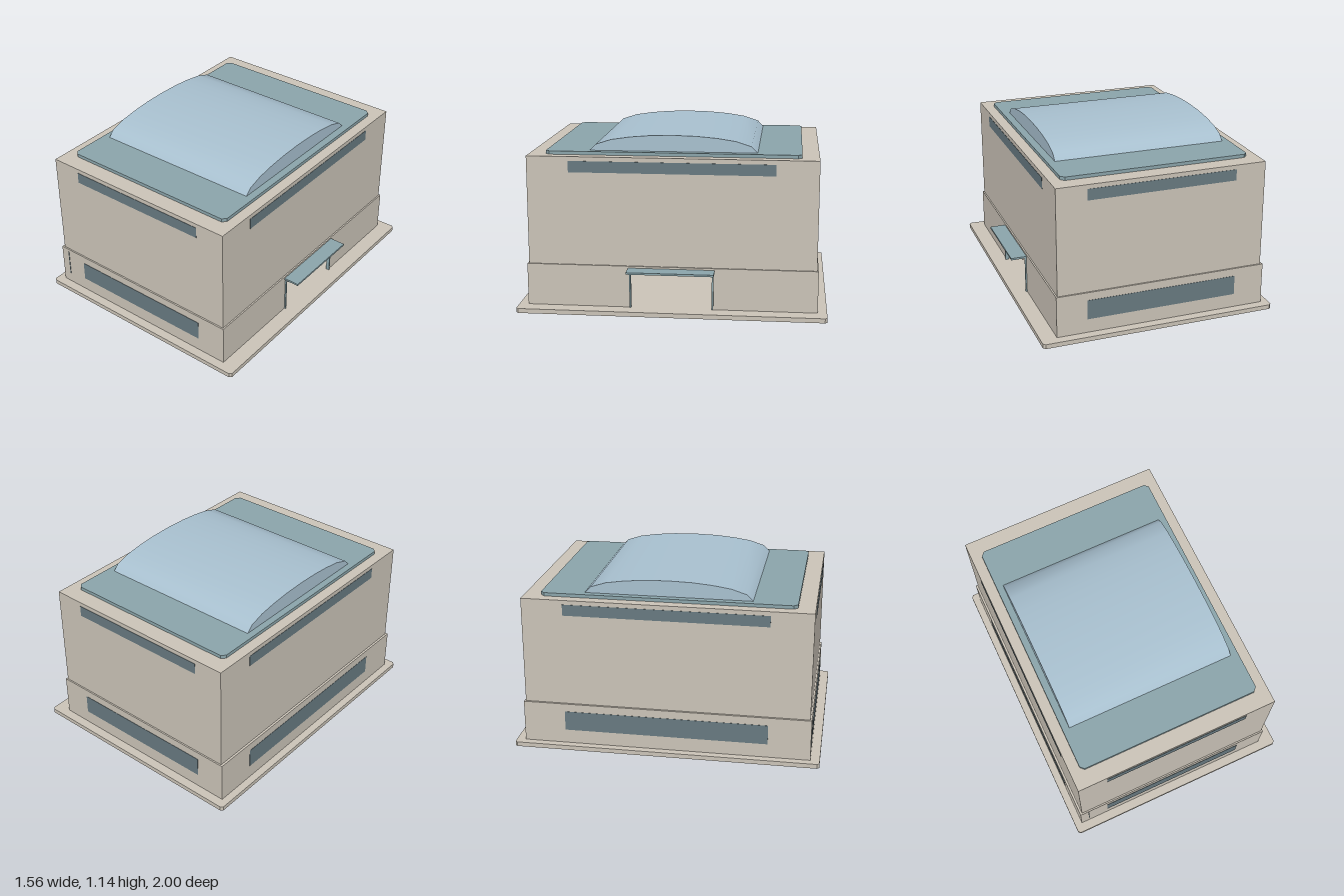
import * as THREE from 'three';
import { toCreasedNormals } from 'three/addons/utils/BufferGeometryUtils.js';

const material = (name, color) => {
  const m = new THREE.MeshStandardMaterial({ color });
  m.name = name;
  return m;
};

export function createModel() {
  const model = new THREE.Group();
  model.name = 'building';
  const stone = material('stone', 0xcac3b7);
  const teal = material('teal trim', 0x8aa4aa);
  const glass = material('dark glass', 0x677980);
  const sky = material('skylight blue', 0xa8c0cf);

  const add = (name, geometry, mat) => {
    const mesh = new THREE.Mesh(geometry, mat);
    mesh.name = name;
    model.add(mesh);
    return mesh;
  };
  // Box given by its limits on each axis
  const block = (name, mat, x0, x1, y0, y1, z0, z1) => {
    const mesh = add(name, new THREE.BoxGeometry(x1 - x0, y1 - y0, z1 - z0), mat);
    mesh.position.set((x0 + x1) / 2, (y0 + y1) / 2, (z0 + z1) / 2);
    return mesh;
  };
  // Horizontal slab with small clipped corners
  const slab = (name, mat, x0, x1, y0, y1, z, c) => {
    const shape = new THREE.Shape([
      [x0 + c, -z], [x1 - c, -z], [x1, -z + c], [x1, z - c],
      [x1 - c, z], [x0 + c, z], [x0, z - c], [x0, -z + c],
    ].map(([a, b]) => new THREE.Vector2(a, b)));
    const g = new THREE.ExtrudeGeometry(shape, { depth: y1 - y0, bevelEnabled: false });
    g.rotateX(-Math.PI / 2);
    g.translate(0, y0, 0);
    return add(name, g, mat);
  };

  slab('base', stone, -0.78, 0.78, 0, 0.03, 1, 0.015);

  // Hollow ground floor, open at the entrance
  const x0 = -0.73, x1 = 0.675, t = 0.015, floor = 0.03, top = 0.305, door = 0.27;
  block('leftOuterWall', stone, x0, x0 + t, floor, top, -0.94, 0.94);
  for (const s of [-1, 1]) {
    const [a, b] = s > 0 ? [0.94 - t, 0.94] : [-0.94, -0.94 + t];
    block('endWall', stone, x0 + t, x1, floor, top, a, b);
    const [c, d] = s > 0 ? [door, 0.94 - t] : [-0.94 + t, -door];
    block('entranceWall', stone, x1 - t, x1, floor, top, c, d);
  }
  block('entranceLintel', stone, x1 - t, x1, 0.27, top, -door, door);

  // Upper storeys
  block('upperBody', stone, -0.715, 0.665, 0.3, 1.013, -0.93, 0.93);

  // Window bands on the ends and sides
  const p = 0.002;
  for (const s of [-1, 1]) {
    const band = (name, xa, xb, ya, yb, z) =>
      block(name, glass, xa, xb, ya, yb, s * z - p, s * z + p);
    band('upperEndWindow', -0.515, 0.465, 0.912, 0.985, 0.93);
    band('lowerEndWindow', -0.53, 0.475, 0.122, 0.252, 0.94);
  }
  for (const x of [-0.715, 0.665])
    block('upperSideWindow', glass, x - p, x + p, 0.912, 0.985, -0.66, 0.66);
  block('lowerSideWindow', glass, x0 - p, x0 + p, 0.122, 0.252, -0.665, 0.665);
  block('frontSlot', glass, -0.672, -0.667, 0.1, 0.285, 0.938, 0.943);

  // Entrance canopy, beam and posts
  block('canopy', teal, 0.672, 0.78, 0.28, 0.293, -0.28, 0.28);
  block('canopyBeam', stone, 0.672, 0.7, 0.265, 0.28, -0.27, 0.27);
  for (const s of [-1, 1])
    block('canopyPost', teal, 0.66, 0.684, floor, 0.28, s * 0.267 - 0.005, s * 0.267 + 0.005);

  // Roof plate and arched skylight
  slab('roofPlate', teal, -0.645, 0.595, 1.013, 1.035, 0.82, 0.025);
  const half = [[0.54, 1.034], [0.5, 1.075], [0.4, 1.107], [0.28, 1.125], [0.15, 1.136]];
  const profile = [
    ...half, [0, 1.14],
    ...half.map(([z, y]) => [-z, y]).reverse(),
  ].map(([z, y]) => new THREE.Vector2(z, y));
  let arch = new THREE.ExtrudeGeometry(new THREE.Shape(profile), { depth: 1.145, bevelEnabled: false });
  arch.rotateY(Math.PI / 2);
  arch.translate(-0.6, 0, 0);
  arch = toCreasedNormals(arch, 0.7);
  add('archedSkylight', arch, sky);

  return model;
}
